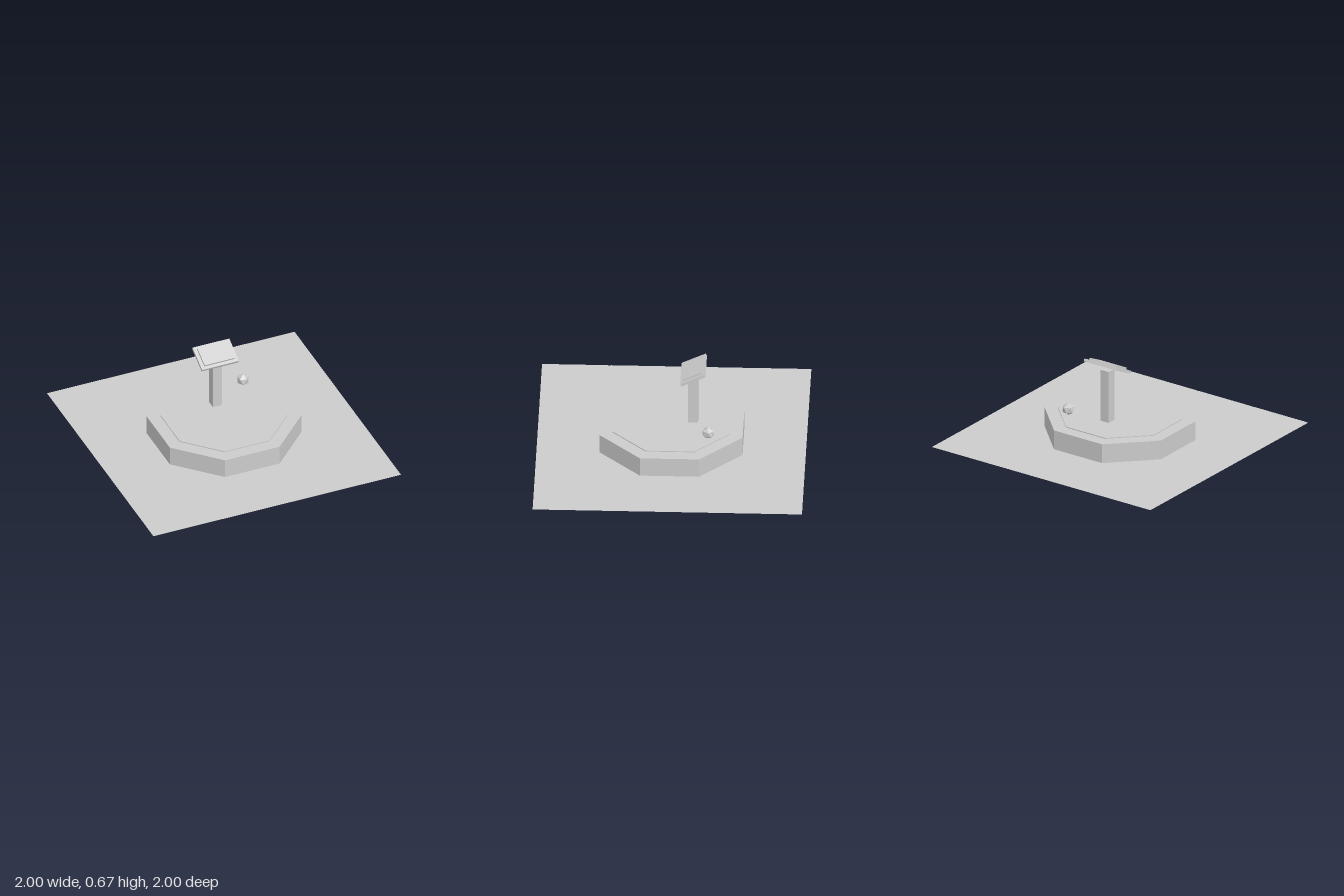
import * as THREE from 'three';

export function createModel() {
  const group = new THREE.Group();
  const grey = new THREE.MeshStandardMaterial({ color: 0xcccccc, flatShading: true });
  grey.name = 'plain grey';
  const greySheet = new THREE.MeshStandardMaterial({ color: 0xcccccc, side: THREE.DoubleSide });
  greySheet.name = 'plain grey sheet';

  const add = (name, geometry, x, y, z, parent = group, material = grey) => {
    const mesh = new THREE.Mesh(geometry, material);
    mesh.name = name;
    mesh.position.set(x, y, z);
    parent.add(mesh);
    return mesh;
  };

  // Flat floor sheet
  const sheet = (w, d) => new THREE.PlaneGeometry(w, d).rotateX(-Math.PI / 2);
  add('floor', sheet(2, 2), 0, 0, 0, group, greySheet);

  // Floor tiles on a 4 x 4 grid, two of them split into halves
  const tiles = new THREE.Group();
  tiles.name = 'floorTiles';
  group.add(tiles);
  const cell = 0.5, gap = 0.022;
  const addTile = (x, z, w, d) =>
    add('tile', sheet(w, d), x + w / 2, 0.008, z + d / 2, tiles, greySheet);
  for (let col = 0; col < 4; col++) {
    for (let row = 0; row < 4; row++) {
      const x = -1 + col * cell + 0.01, z = -1 + row * cell + 0.01;
      const size = cell - gap;
      const split = (col === 3 && row === 0) || (col === 2 && row === 3);
      if (split) {
        const half = (size - gap) / 2;
        addTile(x, z, size, half);
        addTile(x, z + half + gap, size, half);
      } else {
        addTile(x, z, size, size);
      }
    }
  }

  // Octagonal platform with a thin raised plate, flats facing the axes
  const octagon = (apothem, height) => {
    const r = apothem / Math.cos(Math.PI / 8);
    return new THREE.CylinderGeometry(r, r, height, 8).rotateY(Math.PI / 8);
  };
  add('platform', octagon(0.532, 0.152), 0, 0.092, 0);
  add('platformPlate', octagon(0.436, 0.008), 0, 0.171, 0);

  // Console post
  add('post', new THREE.BoxGeometry(0.074, 0.415, 0.074), 0, 0.379, -0.158);

  // Tilted console head with its screen
  const head = new THREE.Group();
  head.name = 'consoleHead';
  head.position.set(0, 0.614, -0.16);
  head.rotation.x = 0.45;
  group.add(head);
  add('consolePanel', new THREE.BoxGeometry(0.297, 0.021, 0.2), 0, 0, 0, head);
  add('screen', new THREE.BoxGeometry(0.243, 0.015, 0.15), 0, 0.018, 0, head);

  // Small floating gem, standing on a corner
  const gem = new THREE.IcosahedronGeometry(0.048, 0).rotateZ(-Math.atan(2 / (1 + Math.sqrt(5))));
  add('gem', gem, 0.273, 0.239, -0.278);

  return group;
}
